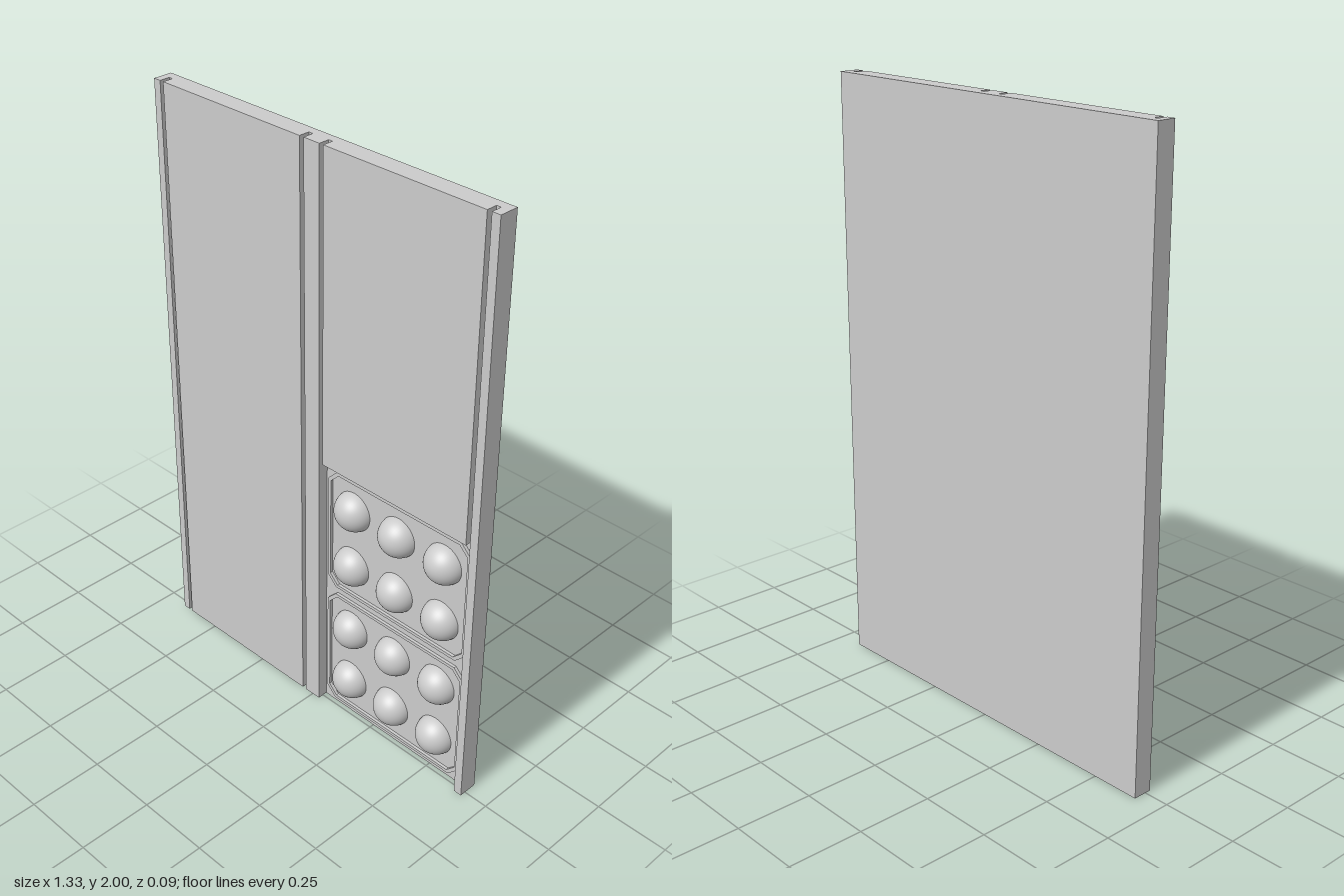
import * as THREE from 'three';

const BACK = -0.045, FLOOR = -0.016, FRONT = 0.02, HEIGHT = 2;
const material = new THREE.MeshStandardMaterial({ color: 0xcccccc });

function addMesh(parent, name, geometry) {
  const mesh = new THREE.Mesh(geometry, material);
  mesh.name = name;
  parent.add(mesh);
  return mesh;
}

// Box given by its limits on each axis
function addSlab(parent, name, x0, x1, y0, y1, z0, z1) {
  addMesh(parent, name, new THREE.BoxGeometry(x1 - x0, y1 - y0, z1 - z0))
    .position.set((x0 + x1) / 2, (y0 + y1) / 2, (z0 + z1) / 2);
}

// Rectangle with clipped corners
function clippedOutline(x0, x1, y0, y1, c) {
  return [
    [x0 + c, y0], [x1 - c, y0], [x1, y0 + c], [x1, y1 - c],
    [x1 - c, y1], [x0 + c, y1], [x0, y1 - c], [x0, y0 + c],
  ].map(([x, y]) => new THREE.Vector2(x, y));
}

export function createModel() {
  const model = new THREE.Group();
  model.name = 'doublePanel';

  // Backing board, which also forms the floor of the grooves and of the recess
  addSlab(model, 'backBoard', -0.665, 0.665, 0, HEIGHT, BACK, FLOOR);

  // Raised strips and panels, with narrow grooves left between them
  addSlab(model, 'rightStile', -0.665, -0.638, 0, HEIGHT, FLOOR, FRONT);
  addSlab(model, 'plainPanel', -0.624, -0.048, 0, HEIGHT, FLOOR, FRONT);
  addSlab(model, 'middleStile', -0.032, 0.029, 0, HEIGHT, FLOOR, FRONT);
  addSlab(model, 'upperPanel', 0.044, 0.621, 0.96, HEIGHT, FLOOR, FRONT);
  addSlab(model, 'leftStile', 0.636, 0.665, 0, HEIGHT, FLOOR, FRONT);

  // Two studded fields in the recess, each with a clipped-corner rim
  const domeGeometry = new THREE.SphereGeometry(0.068, 32, 20);
  for (const [bottom, top, rows] of [[0.022, 0.464, [0.138, 0.35]], [0.492, 0.936, [0.607, 0.819]]]) {
    const field = new THREE.Group();
    field.name = 'studdedField';
    model.add(field);

    const outline = new THREE.Shape(clippedOutline(0.044, 0.621, bottom, top, 0.036));
    const w = 0.011;
    outline.holes.push(new THREE.Path(clippedOutline(0.044 + w, 0.621 - w, bottom + w, top - w, 0.032).reverse()));
    const rim = new THREE.ExtrudeGeometry(outline, { depth: 0.01, bevelEnabled: false });
    addMesh(field, 'rim', rim).position.z = FLOOR;

    for (const y of rows) {
      for (const x of [0.146, 0.331, 0.516]) {
        addMesh(field, 'dome', domeGeometry).position.set(x, y, -0.023);
      }
    }
  }

  // Keep only the front half of the domes so that none passes through the back
  domeGeometry.copy(new THREE.SphereGeometry(0.068, 40, 14, 0, Math.PI * 2, 0, Math.PI / 2).rotateX(Math.PI / 2));
  return model;
}
